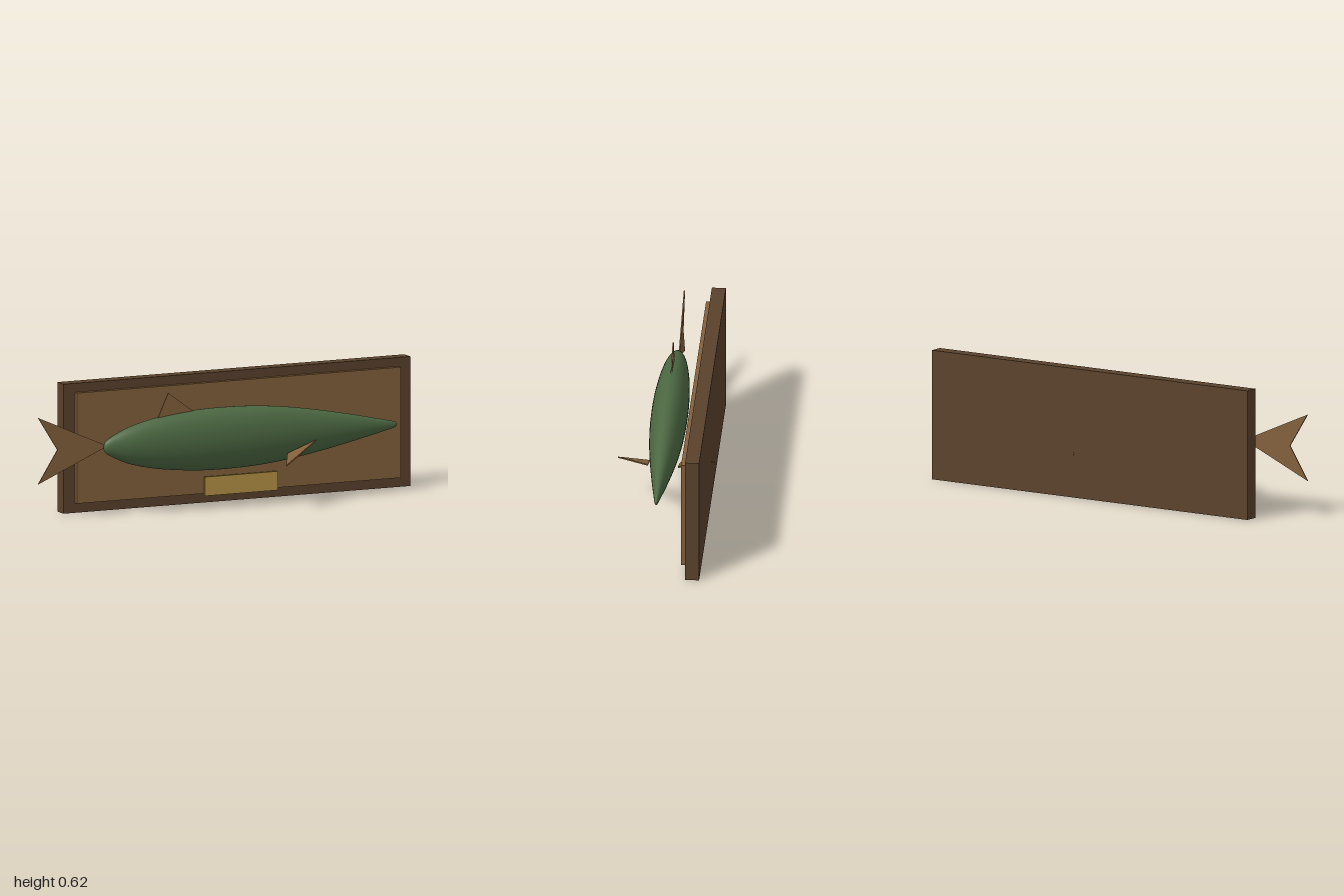
import * as THREE from 'three';

const paint = (name, color) => {
  const m = new THREE.MeshStandardMaterial({ color });
  m.name = name;
  return m;
};

export function createModel() {
  const group = new THREE.Group();
  const darkWood = paint('dark wood', 0x5a422c);
  const lightWood = paint('light wood', 0x82603b);
  const green = paint('fish green', 0x4c6842);
  const brass = paint('brass', 0xb69347);

  const add = (name, geometry, material) => {
    const mesh = new THREE.Mesh(geometry, material);
    mesh.name = name;
    group.add(mesh);
    return mesh;
  };
  // Box given by its lower and upper corners
  const box = (name, a, b, material) => {
    const mesh = add(name, new THREE.BoxGeometry(b[0] - a[0], b[1] - a[1], b[2] - a[2]), material);
    mesh.position.set((a[0] + b[0]) / 2, (a[1] + b[1]) / 2, (a[2] + b[2]) / 2);
  };
  // Thin flat plate cut from an outline
  const plate = (points, depth) => new THREE.ExtrudeGeometry(
    new THREE.Shape(points.map(p => new THREE.Vector2(...p))), { depth, bevelEnabled: false });

  // Wall plaque
  box('backBoard', [-0.8, 0, -0.212], [1, 0.616, -0.146], darkWood);
  box('frontPanel', [-0.74, 0.047, -0.146], [0.94, 0.573, -0.123], lightWood);
  box('namePlate', [-0.09, 0.04, -0.106], [0.29, 0.13, -0.095], brass);

  // Fish body: a smooth spindle, flattened sideways
  const profile = new THREE.SplineCurve([
    [0, -0.662], [0.025, -0.652], [0.052, -0.61], [0.09, -0.52], [0.122, -0.38], [0.142, -0.2],
    [0.147, -0.05], [0.142, 0.12], [0.125, 0.29], [0.099, 0.45], [0.068, 0.61],
    [0.035, 0.76], [0.018, 0.835], [0.011, 0.855], [0, 0.861],
  ].map(p => new THREE.Vector2(...p))).getPoints(56);
  profile.forEach(p => { p.x = Math.max(p.x, 0); });
  const body = new THREE.LatheGeometry(profile, 48);
  body.rotateZ(-Math.PI / 2).scale(1, 1, 0.578).translate(0, 0.327, 0);
  add('fishBody', body, green);

  // Upright fins
  const tail = add('tailFin', plate([[-0.64, 0.333], [-1, 0.492], [-0.9, 0.333], [-1, 0.176]], 0.006), lightWood);
  tail.position.z = -0.006;
  add('dorsalFin', plate([[-0.385, 0.44], [-0.195, 0.465], [-0.328, 0.563]], 0.006), lightWood);

  // Side fins, swept back and sloping down towards the tail
  for (const side of [1, -1]) {
    const fin = plate([[0, 0], [-0.245, side * 0.155], [-0.16, 0]], 0.006);
    fin.rotateX(Math.PI / 2).rotateZ(0.345);
    fin.translate(0.41, side > 0 ? 0.298 : 0.291, side * 0.071);
    add(side > 0 ? 'frontSideFin' : 'rearSideFin', fin, lightWood);
  }

  return group;
}
